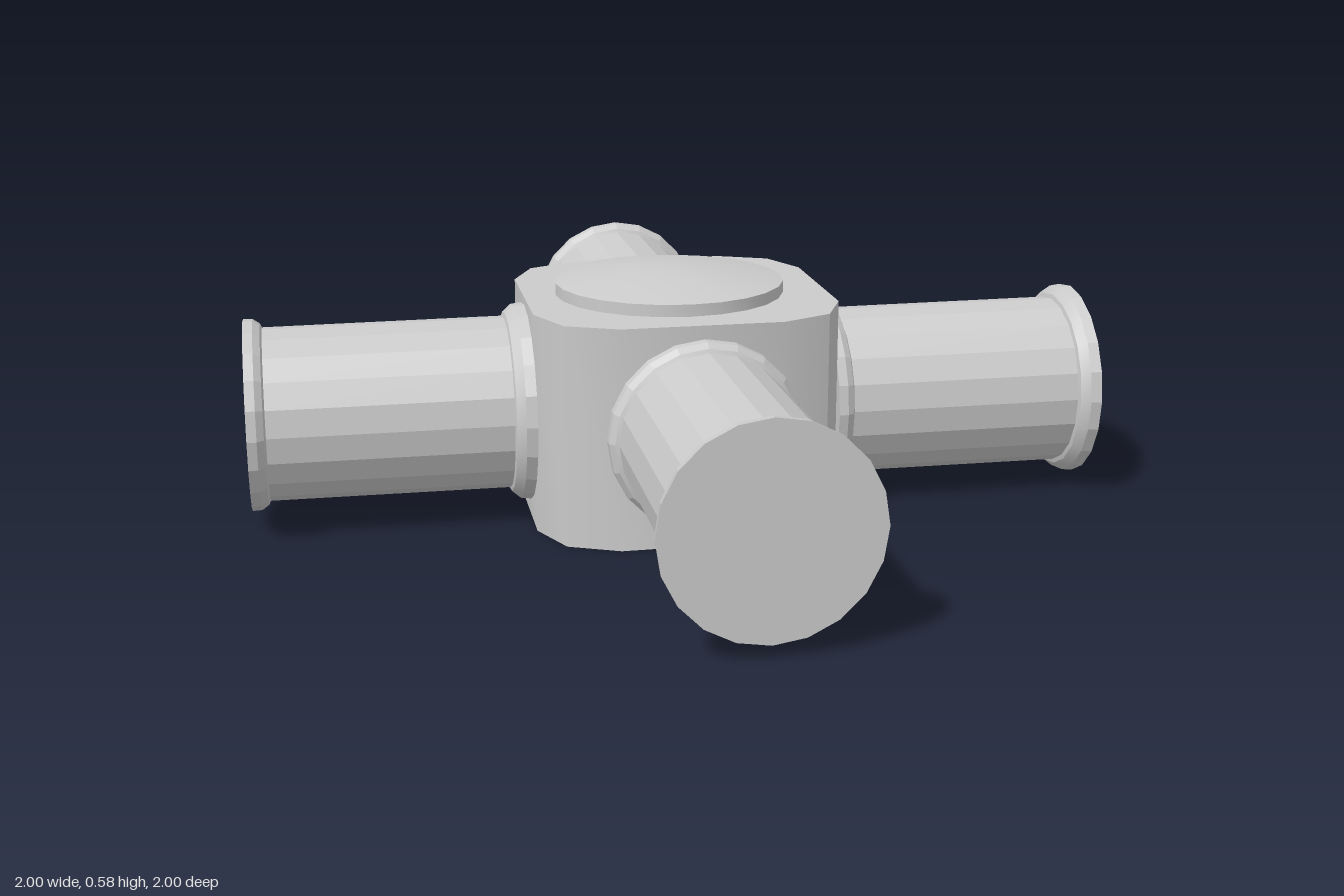
import * as THREE from 'three';
import { toCreasedNormals } from 'three/addons/utils/BufferGeometryUtils.js';

const material = new THREE.MeshStandardMaterial({ color: 0xcccccc });

function part(name, geometry, crease = 0.5) {
  const mesh = new THREE.Mesh(toCreasedNormals(geometry, crease), material);
  mesh.name = name;
  return mesh;
}

const lathe = (points, sides) =>
  new THREE.LatheGeometry(points.map(([r, y]) => new THREE.Vector2(r, y)), sides);

export function createModel() {
  const model = new THREE.Group();
  model.name = 'fourWayConnector';

  // Hub: upright block with twelve sides, four of its corners sharp
  const outline = new THREE.Shape();
  for (let i = 0; i < 4; i++) {
    const c = Math.round(Math.cos(i * Math.PI / 2)), s = Math.round(Math.sin(i * Math.PI / 2));
    for (const [x, y] of [[0.355, -0.185], [0.355, 0.185], [0.302, 0.302]]) {
      const px = x * c - y * s, py = x * s + y * c;
      if (i === 0 && y < 0) outline.moveTo(px, py);
      else outline.lineTo(px, py);
    }
  }
  outline.closePath();
  const hub = new THREE.ExtrudeGeometry(outline, { depth: 0.515, bevelEnabled: false });
  hub.rotateX(-Math.PI / 2);
  model.add(part('hub', hub));

  // Shallow domed cap on the hub
  const dome = part('domedCap', lathe([
    [0.27, 0.505], [0.27, 0.543], [0.2, 0.556], [0.1, 0.57], [0, 0.576],
  ], 24));
  dome.position.x = -0.01;
  model.add(dome);

  // Arm: closed tube with a wide collar at its start and a narrower one at its end
  const length = 0.645;
  const arm = lathe([
    [0, 0], [0.233, 0], [0.23, 0.025], [0.213, 0.045], [0.203, 0.048],
    [0.201, length - 0.042], [0.21, length - 0.038], [0.221, length - 0.022],
    [0.222, length], [0, length],
  ], 20);

  // direction angle about y, sideways offset (x, z), height, wide collar outward or not
  const arms = [
    ['frontArm', 0, 0.005, 0, 0.262, true],
    ['rightArm', -Math.PI / 2, 0, 0.005, 0.264, false],
    ['backArm', Math.PI, 0.024, 0, 0.263, false],
    ['leftArm', Math.PI / 2, 0, -0.003, 0.248, true],
  ];
  for (const [name, angle, x, z, y, wideOutward] of arms) {
    const g = arm.clone();
    if (wideOutward) g.rotateX(Math.PI).translate(0, length, 0);
    g.rotateX(Math.PI / 2).translate(0, 0, 0.355).rotateY(angle);
    const mesh = part(name, g, 0.25);
    mesh.position.set(x, y, z);
    model.add(mesh);
  }
  return model;
}
